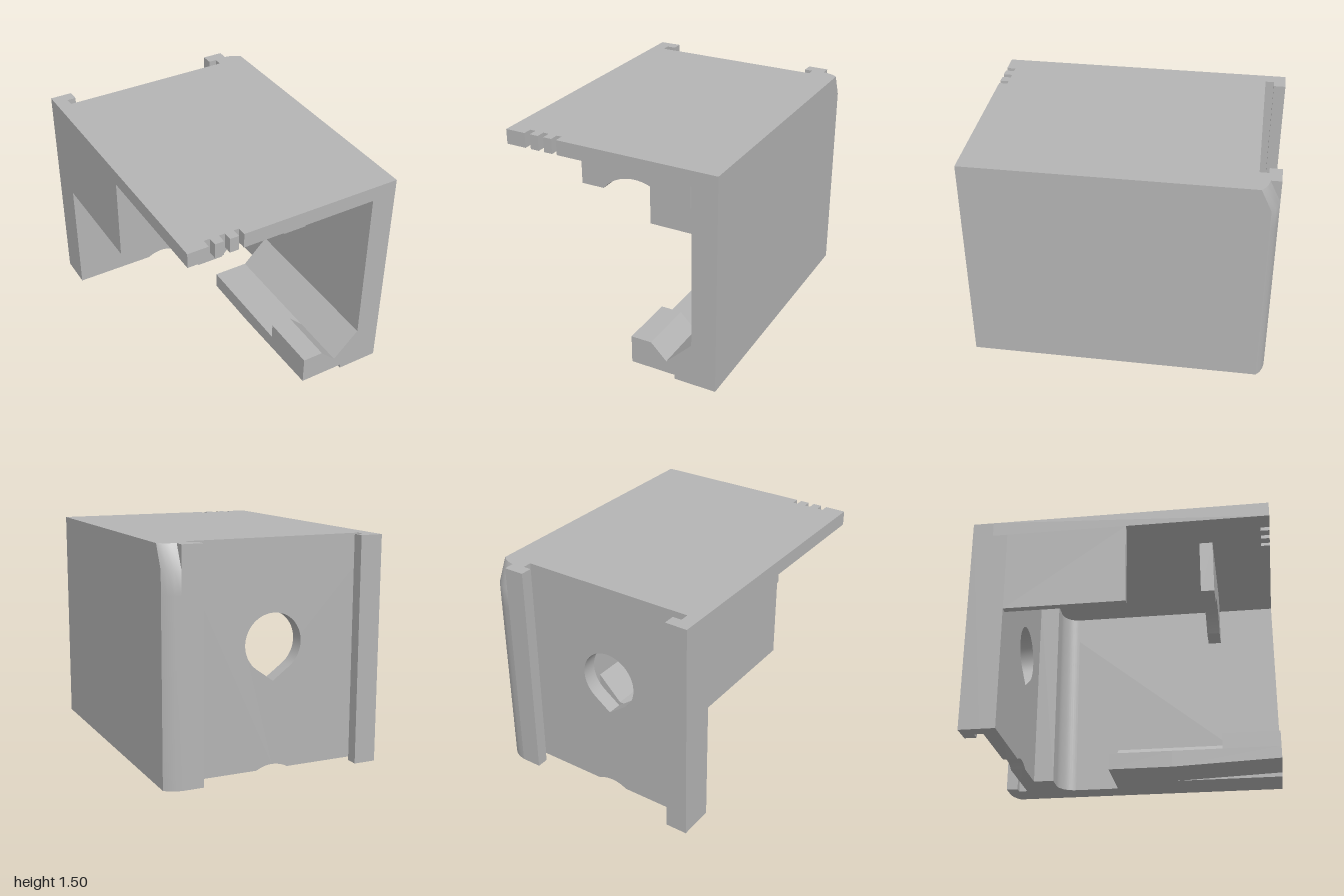
import * as THREE from 'three';
import { toCreasedNormals } from 'three/addons/utils/BufferGeometryUtils.js';

const shapeOf = (pts) => new THREE.Shape(pts.map(([x, y]) => new THREE.Vector2(x, y)));

// arc points around (cx, cy), both ends included
function arc(cx, cy, r, a0, a1, n = 24) {
  return Array.from({ length: n + 1 }, (_, i) => {
    const a = a0 + (a1 - a0) * i / n;
    return [cx + r * Math.cos(a), cy + r * Math.sin(a)];
  });
}

// front outline (x, y) extruded from z0 to z1
function profile(shape, z0, z1) {
  const s = Array.isArray(shape) ? shapeOf(shape) : shape;
  return new THREE.ExtrudeGeometry(s, { depth: z1 - z0, bevelEnabled: false }).translate(0, 0, z0);
}

// floor plan (x, z) extruded from y0 to y1
function plan(pts, y0, y1, steps = 1) {
  return new THREE.ExtrudeGeometry(shapeOf(pts.map(([x, z]) => [x, -z])), { depth: y1 - y0, bevelEnabled: false, steps })
    .rotateX(-Math.PI / 2).translate(0, y0, 0);
}

function moveVertices(geo, rule) {
  const p = geo.attributes.position;
  const v = new THREE.Vector3();
  for (let i = 0; i < p.count; i++) {
    rule(v.fromBufferAttribute(p, i));
    p.setXYZ(i, v.x, v.y, v.z);
  }
  return geo;
}

export function createModel() {
  const model = new THREE.Group();
  const grey = new THREE.MeshStandardMaterial({ color: 0xb4b4b4 });
  grey.name = 'grey';
  const add = (name, geo) => {
    const mesh = new THREE.Mesh(toCreasedNormals(geo, 0.5), grey);
    mesh.name = name;
    model.add(mesh);
  };
  const H = 1.5, under = 1.4, W = 0.74, back = -0.86, inner = -0.76, wall = 0.57;
  const hx = -0.05, hy = 0.828;

  // top plate with three small slots in its front edge
  const notches = [[-0.60, -0.56], [-0.50, -0.46], [-0.40, -0.365]]
    .flatMap(([a, b]) => [[a, 1], [a, 0.94], [b, 0.94], [b, 1]]);
  add('topPlate', plan([[-W, back], [-W, 1], ...notches, [wall, 1], [wall, back]], under, H));

  // side wall
  add('sideWall', plan([[wall, back], [wall, 1], [W, 1], [W, back]], 0, H));

  // back wall with teardrop hole and a shallow arc in the bottom edge
  const backWall = shapeOf([[-W, 0], ...arc(hx, -0.187, 0.217, Math.PI - 1.04, 1.04, 12),
    [wall, 0], [wall, under], [-W, under]]);
  const t = 0.626;
  backWall.holes.push(new THREE.Path([
    ...arc(hx, hy, 0.197, -Math.PI / 2 + t, Math.PI * 1.5 - t, 40), [hx, 0.585],
  ].map(([x, y]) => new THREE.Vector2(x, y))));
  add('backWall', profile(backWall, back, inner));

  // hooked rails on the back
  add('railRight', plan([[-W, -1], [-0.59, -1], [-0.59, -0.92], [-0.65, -0.92], [-0.65, back], [-W, back]], 0, H));
  add('railLeft', plan([[0.49, -1], [0.63, -1], [0.63, back], [0.545, back], [0.545, -0.92], [0.49, -0.92]], 0, H));

  // rounded rear corner, cut back towards the top
  const curve = [[0.63, -1], [0.67, -0.992], [0.71, -0.975], [W, -0.95]];
  const corner = plan([...curve, [W, back], [0.63, back]], 0, H, 10);
  add('rearCorner', moveVertices(corner, (v) => {
    if (v.z < -0.94 && v.y > 1.34) v.z += 0.07 * (v.y - 1.35) / 0.15;
  }));

  // filleted thickening between back wall and side wall
  add('innerFillet', plan([[0.33, inner], [0.33, -0.62], ...arc(0.45, -0.5, 0.12, -Math.PI / 2, 0, 12),
    [wall, inner]], 0, under));

  // narrow side panel under the plate
  add('sidePanel', profile([[-W, 0.835], [-0.69, 0.835], [-0.69, under], [-W, under]], inner, 0.05));

  // hanging rib with a circular cutout
  const a = Math.asin((1.025 - hy) / 0.31);
  add('hangingRib', profile([[-0.455, 1.025], ...arc(hx, hy, 0.31, Math.PI - a, a),
    [0.355, 1.025], [0.355, under], [-0.455, under]], 0.52, 0.61));

  // bottom ledge: sloped root, flat tongue with a ramped underside, raised front lip
  add('ledgeRoot', profile([[0.45, 0], [wall, 0], [wall, 0.295], [0.45, 0.175]], -0.19, 1));
  const tongue = [[0.135, 0], [0.45, 0], [0.45, 0.175], [0.39, 0.115], [0.135, 0.115]];
  add('ledgeTongue', profile(tongue, -0.19, 0.25));
  add('ledgeRamp', moveVertices(profile(tongue, 0.25, 1), (v) => {
    if (v.z > 0.9 && v.y < 0.01) v.y = 0.03;
  }));
  add('ledgeLip', profile([[0.135, 0.115], [0.39, 0.115], [0.28, 0.225], [0.135, 0.225]], 0.6, 1));

  return model;
}
